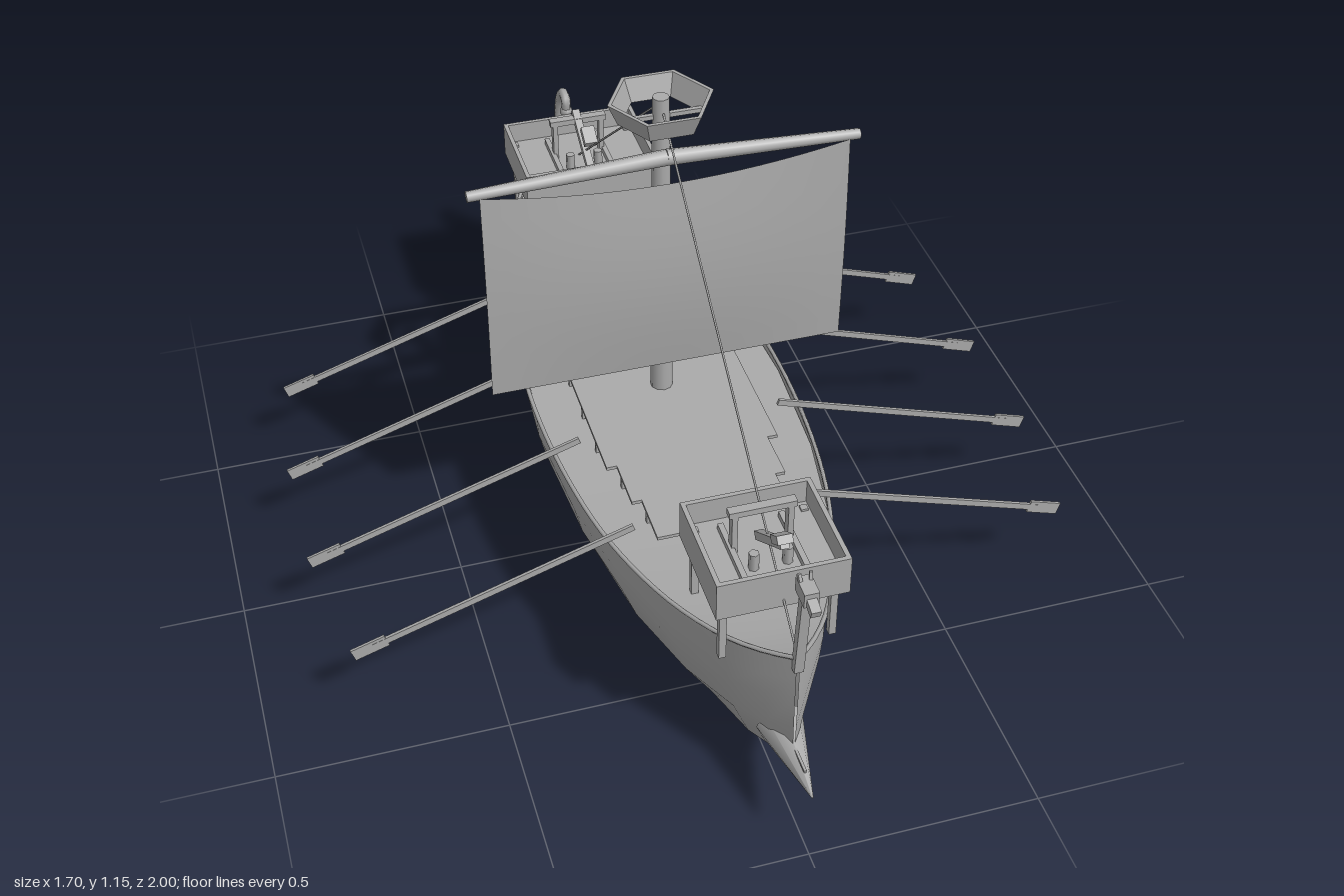
import * as THREE from 'three';

const grey = new THREE.MeshStandardMaterial({ color: 0xaaaaaa, side: THREE.DoubleSide });
grey.name = 'ship grey';

const V = (x, y, z) => new THREE.Vector3(x, y, z);

function add(parent, name, geometry, x = 0, y = 0, z = 0) {
  const mesh = new THREE.Mesh(geometry, grey);
  mesh.name = name;
  mesh.position.set(x, y, z);
  parent.add(mesh);
  return mesh;
}

const box = (parent, name, w, h, d, x, y, z) => add(parent, name, new THREE.BoxGeometry(w, h, d), x, y, z);

// Square bar between two points
function bar(parent, name, a, b, w, h = w) {
  const mesh = box(parent, name, w, h, a.distanceTo(b), (a.x + b.x) / 2, (a.y + b.y) / 2, (a.z + b.z) / 2);
  mesh.lookAt(b);
  return mesh;
}

// Round tapering spar between two points
function spar(parent, name, a, b, ra, rb, sides = 8) {
  const mid = a.clone().add(b).multiplyScalar(0.5);
  const mesh = add(parent, name, new THREE.CylinderGeometry(rb, ra, a.distanceTo(b), sides), mid.x, mid.y, mid.z);
  mesh.quaternion.setFromUnitVectors(V(0, 1, 0), b.clone().sub(a).normalize());
  return mesh;
}

// Smooth skin through equal-length rows of points
function loft(rows) {
  const n = rows[0].length, index = [];
  for (let j = 0; j < rows.length - 1; j++)
    for (let i = 0; i < n - 1; i++) {
      const a = j * n + i, b = a + n;
      index.push(a, a + 1, b, a + 1, b + 1, b);
    }
  const g = new THREE.BufferGeometry().setFromPoints(rows.flat());
  g.setIndex(index);
  g.computeVertexNormals();
  return g;
}

// Hull stations: z, half beam, sheer height, keel height
const stations = [
  [-1, 0.003, 0.535, 0.15], [-0.97, 0.04, 0.505, 0.125], [-0.9, 0.105, 0.455, 0.092], [-0.8, 0.165, 0.41, 0.065],
  [-0.6, 0.23, 0.375, 0.035], [-0.35, 0.275, 0.37, 0.012], [-0.07, 0.291, 0.368, 0.004], [0.2, 0.275, 0.37, 0.013],
  [0.4, 0.24, 0.372, 0.028], [0.6, 0.175, 0.383, 0.055], [0.75, 0.105, 0.41, 0.085], [0.83, 0.05, 0.433, 0.115],
  [0.885, 0.003, 0.455, 0.145],
];
const section = [[1, 1], [0.985, 0.8], [0.93, 0.62], [0.79, 0.36], [0.47, 0.1], [0, 0]];

function buildHull(ship) {
  const half = section.slice(0, -1);
  const ring = [...half.map(([w, h]) => [-w, h]), [0, 0], ...half.slice().reverse()];
  add(ship, 'hull', loft(stations.map(([z, w, top, keel]) =>
    ring.map(([u, h]) => V(u * w, keel + h * (top - keel), z)))));
  add(ship, 'deck', loft(stations.map(([z, w, top]) =>
    [1, 0, -1].map(u => V(u * w * 0.985, top - 0.012, z)))));
  for (const s of [-1, 1]) {
    const curve = new THREE.CatmullRomCurve3(stations.map(([z, w, top]) => V(s * w, top, z)));
    add(ship, 'gunwale', new THREE.TubeGeometry(curve, 48, 0.005, 5));
  }
  // Ram at the bow
  spar(ship, 'ram', V(0, 0.182, 0.8), V(0, 0.177, 1), 0.05, 0.002, 8);
  bar(ship, 'ramSpike', V(0, 0.203, 0.86), V(0, 0.203, 0.955), 0.006);
}

// Stepped raised planking with short posts along its edges
function buildPlanking(ship) {
  const steps = [[-0.55, -0.42, 0.165], [-0.42, -0.3, 0.18], [-0.3, 0.19, 0.195], [0.19, 0.31, 0.172], [0.31, 0.43, 0.15]];
  for (const [z0, z1, w] of steps) {
    box(ship, 'planking', w * 2, 0.008, z1 - z0, 0, 0.392, (z0 + z1) / 2);
    for (const s of [-1, 1])
      for (let z = z0 + 0.03; z < z1; z += 0.12) box(ship, 'plankingPost', 0.01, 0.03, 0.01, s * (w - 0.006), 0.374, z);
  }
}

// Rowing oars and steering oars
function buildOars(ship) {
  for (const s of [-1, 1]) {
    for (const [z, x0, x1] of [[0.39, 0.19, 0.8], [0.09, 0.23, 0.845], [-0.21, 0.23, 0.845], [-0.51, 0.19, 0.81]]) {
      const a = V(s * x0, 0.402, z), b = V(s * x1, 0.197, z);
      bar(ship, 'oarShaft', a, b.clone().lerp(a, 0.07), 0.007, 0.015);
      bar(ship, 'oarBlade', b.clone().lerp(a, 0.12), b, 0.006, 0.03);
    }
    const top = V(s * 0.215, 0.435, -0.69), foot = V(s * 0.215, 0.12, -0.935);
    bar(ship, 'steeringHandle', V(s * 0.18, 0.437, -0.59), top, 0.008);
    bar(ship, 'steeringShaft', top, foot, 0.01, 0.014);
    bar(ship, 'steeringBlade', top.clone().lerp(foot, 0.77), foot, 0.007, 0.055);
    bar(ship, 'steeringBracket', V(s * 0.16, 0.4, -0.72), V(s * 0.217, 0.4, -0.72), 0.012);
  }
}

function buildRig(ship) {
  const mz = -0.055;
  spar(ship, 'mast', V(0, 0.34, mz), V(0, 1.155, mz), 0.026, 0.018, 10);

  // Open six-sided lookout ring with thick walls
  const wall = [[0.093, 1.104], [0.114, 1.153], [0.105, 1.153], [0.085, 1.104], [0.093, 1.104]]
    .map(([r, y]) => new THREE.Vector2(r, y));
  const ring = new THREE.LatheGeometry(wall, 6, Math.PI / 2).toNonIndexed();
  ring.computeVertexNormals();
  add(ship, 'lookout', ring, 0, 0, mz);
  bar(ship, 'lookoutBrace', V(-0.09, 1.11, mz), V(0.09, 1.11, mz), 0.01);

  // Bent yard
  for (const s of [-1, 1]) spar(ship, 'yard', V(0, 1.033, -0.013), V(s * 0.425, 1.017, -0.01), 0.018, 0.012, 8);

  // Bellied sail with a sagging head
  const sail = new THREE.PlaneGeometry(0.8, 1, 16, 10);
  const p = sail.attributes.position;
  for (let i = 0; i < p.count; i++) {
    const x = p.getX(i), t = p.getY(i) + 0.5, c = 1 - (x / 0.4) ** 2;
    p.setXYZ(i, x, 0.5 + t * (0.515 - 0.038 * c), 0.003 + 0.018 * Math.sin(Math.PI * t) * (0.3 + 0.7 * c));
  }
  sail.computeVertexNormals();
  add(ship, 'sail', sail);

  spar(ship, 'foreStay', V(0, 1.125, mz + 0.02), V(0, 0.45, 0.885), 0.0025, 0.0025, 5);
  spar(ship, 'backStay', V(0, 1.125, mz - 0.02), V(0, 0.45, -0.92), 0.0025, 0.0025, 5);
}

// Raised fighting platform with a small catapult
function buildCastle(ship, name, z, y, hx, hz, h, legBottom) {
  const g = new THREE.Group();
  g.name = name;
  g.position.set(0, y, z);
  ship.add(g);
  const t = 0.01;
  for (const s of [-1, 1]) {
    box(g, 'sideWall', t, h, hz * 2, s * (hx - t / 2), h / 2, 0);
    box(g, 'endWall', hx * 2, h, t, 0, h / 2, s * (hz - t / 2));
    for (const k of [-1, 1])
      box(g, 'leg', 0.015, y - legBottom + 0.04, 0.015, s * (hx - 0.022), (legBottom - y + 0.04) / 2, k * (hz - 0.03));
    // Catapult frame
    box(g, 'framePost', 0.012, 0.105, 0.02, s * 0.058, 0.085, -0.02);
    spar(g, 'peg', V(s * 0.035, 0.035, 0.04), V(s * 0.035, 0.075, 0.04), 0.011, 0.011, 6);
    box(g, 'baseRail', 0.012, 0.015, 0.16, s * 0.064, 0.042, -0.005);
  }
  box(g, 'floor', hx * 2 - t, 0.01, hz * 2 - t, 0, 0.03, 0);
  box(g, 'crossbar', 0.14, 0.014, 0.02, 0, 0.134, -0.02);
  bar(g, 'catapultArm', V(0, 0.04, -0.025), V(0, 0.165, 0.105), 0.018);
  bar(g, 'catapultCup', V(0, 0.14, 0.08), V(0, 0.172, 0.112), 0.032, 0.018);
}

// Carved beast at the bow and curled ornament at the stern
function buildOrnaments(ship) {
  bar(ship, 'figureheadNeck', V(0, 0.42, 0.882), V(0, 0.65, 0.905), 0.02, 0.018);
  bar(ship, 'figureheadHead', V(0, 0.66, 0.885), V(0, 0.658, 0.935), 0.03, 0.034);
  bar(ship, 'figureheadSnout', V(0, 0.655, 0.93), V(0, 0.645, 0.96), 0.02, 0.018);
  for (const s of [-1, 1]) bar(ship, 'figureheadEar', V(s * 0.01, 0.67, 0.9), V(s * 0.012, 0.69, 0.893), 0.007);

  const curl = new THREE.CatmullRomCurve3([
    V(0, 0.5, -0.99), V(0, 0.56, -0.992), V(0, 0.61, -0.975), V(0, 0.645, -0.94), V(0, 0.638, -0.913), V(0, 0.607, -0.915),
  ]);
  add(ship, 'sternCurl', new THREE.TubeGeometry(curl, 20, 0.012, 7));
  add(ship, 'sternCurlTip', new THREE.SphereGeometry(0.016, 8, 6), 0, 0.607, -0.915);
  bar(ship, 'sternPost', V(0, 0.15, -0.992), V(0, 0.53, -0.994), 0.012);
}

export function createModel() {
  const ship = new THREE.Group();
  ship.name = 'ship';
  buildHull(ship);
  buildPlanking(ship);
  buildOars(ship);
  buildRig(ship);
  buildCastle(ship, 'bowCastle', 0.668, 0.503, 0.137, 0.1225, 0.09, 0.37);
  buildCastle(ship, 'sternCastle', -0.775, 0.52, 0.165, 0.125, 0.085, 0.38);
  buildOrnaments(ship);
  return ship;
}
